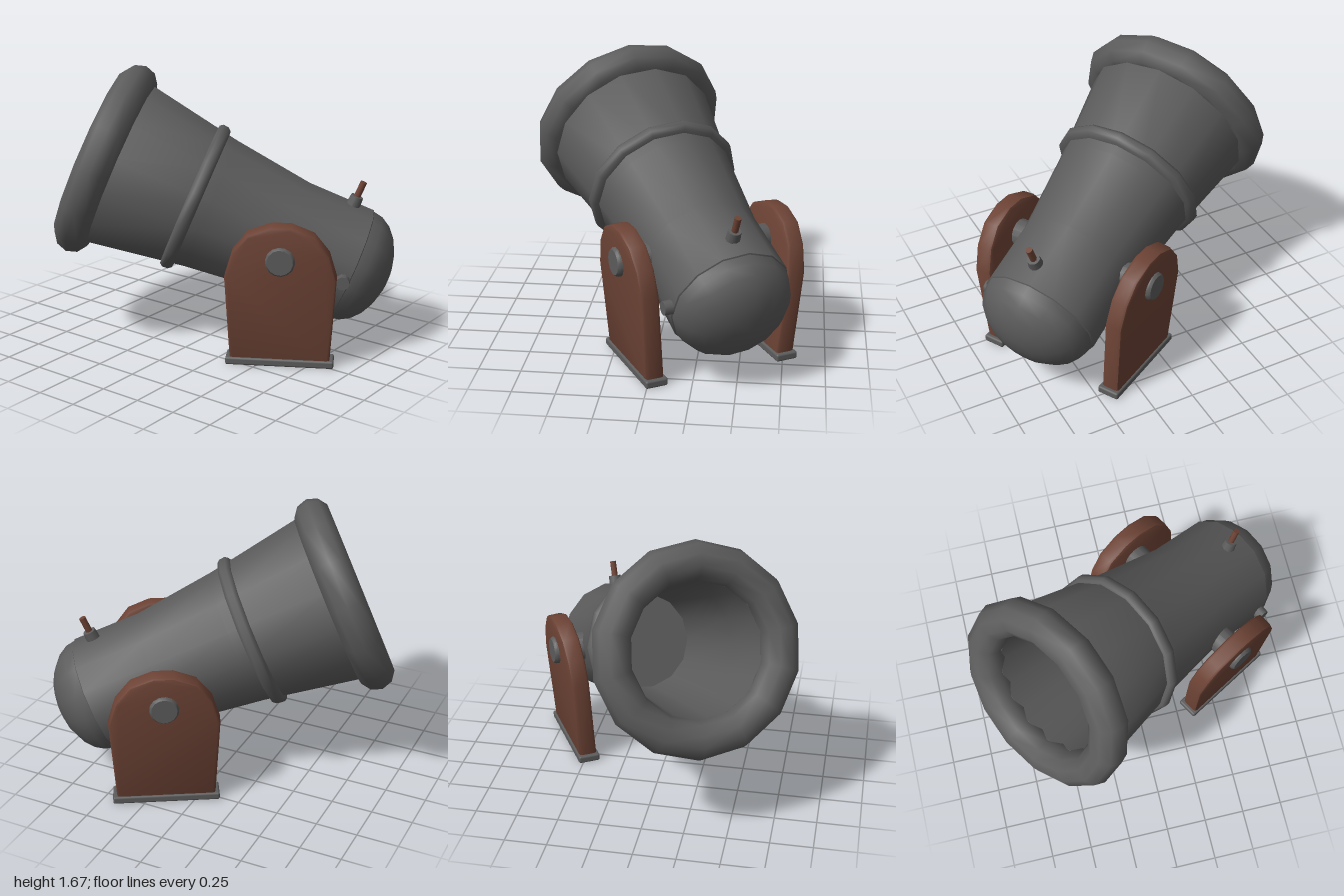
import * as THREE from 'three';
import { toCreasedNormals } from 'three/addons/utils/BufferGeometryUtils.js';
import { RoundedBoxGeometry } from 'three/addons/geometries/RoundedBoxGeometry.js';

const SIDES = 14;
const iron = new THREE.MeshStandardMaterial({ color: 0x5c5c5c });
iron.name = 'iron';
const wood = new THREE.MeshStandardMaterial({ color: 0x6d4335 });
wood.name = 'wood';

function add(parent, name, geometry, material, x = 0, y = 0, z = 0) {
  const mesh = new THREE.Mesh(geometry, material);
  mesh.name = name;
  mesh.position.set(x, y, z);
  parent.add(mesh);
  return mesh;
}

function lathe(points, crease = 0.7) {
  const profile = points.map(([r, y]) => new THREE.Vector2(r, y));
  return toCreasedNormals(new THREE.LatheGeometry(profile, SIDES, Math.PI / SIDES / 2), crease);
}

// Barrel parts run along y, with the muzzle at +y and the upper side at -z
function createBarrel() {
  const barrel = new THREE.Group();
  barrel.name = 'barrel';

  // Outer wall, then down the bore to its closed end
  add(barrel, 'barrelBody', lathe([
    [0.345, -0.43], [0.362, -0.42], [0.36, 0], [0.42, 0.5], [0.525, 1.12],
    [0.5, 1.19], [0.4, 1.17], [0.36, 0.8], [0.3, 0.15], [0, 0.15],
  ]), iron);

  // Domed breech
  const dome = [];
  for (let i = 0; i <= 6; i++) {
    const a = (i / 6) * Math.PI / 2;
    dome.push([0.355 * Math.sin(a), -0.42 - 0.25 * Math.cos(a)]);
  }
  add(barrel, 'breechCap', lathe(dome), iron);

  // Band around the middle
  add(barrel, 'barrelBand', lathe([
    [0.41, 0.555], [0.455, 0.56], [0.472, 0.58], [0.475, 0.615], [0.46, 0.635], [0.42, 0.64],
  ], 1.0), iron);

  // Rounded muzzle lip
  const lip = new THREE.TorusGeometry(0.5, 0.112, 10, SIDES);
  lip.rotateX(Math.PI / 2).rotateY(Math.PI / SIDES / 2);
  add(barrel, 'muzzleLip', lip, iron, 0, 1.19, 0);

  // Fuse on the upper side
  const socket = new THREE.CylinderGeometry(0.038, 0.045, 0.08, 10).rotateX(-Math.PI / 2);
  add(barrel, 'fuseSocket', socket, iron, 0, -0.288, -0.37);
  const fuse = new THREE.CylinderGeometry(0.02, 0.02, 0.16, 8).rotateX(-Math.PI / 2);
  add(barrel, 'fuse', fuse, wood, 0, -0.288, -0.425);

  // Small stud on the left of the breech seam
  const stud = new THREE.CylinderGeometry(0.04, 0.045, 0.08, 10).rotateZ(-Math.PI / 2);
  add(barrel, 'breechStud', stud, iron, 0.36, -0.385, 0);
  return barrel;
}

// Arched plank with softened edges
function plankGeometry() {
  const half = [[0.275, 0], [0.305, 0.52], [0.262, 0.665], [0.18, 0.77], [0.055, 0.82]];
  const outline = [...half, ...half.slice().reverse().map(([x, y]) => [-x, y])];
  const shape = new THREE.Shape(outline.map(([x, y]) => new THREE.Vector2(x, y)));
  const geometry = new THREE.ExtrudeGeometry(shape, {
    depth: 0.07, bevelThickness: 0.02, bevelSize: 0.018, bevelSegments: 2,
  });
  geometry.translate(0, 0, -0.035).rotateY(Math.PI / 2);
  return toCreasedNormals(geometry, 0.7);
}

export function createModel() {
  const model = new THREE.Group();
  model.name = 'cannon';

  // The whole cannon is turned to one side
  const carriage = new THREE.Group();
  carriage.name = 'carriage';
  carriage.position.set(0.38, 0, -0.26);
  carriage.rotation.y = -Math.PI / 3;
  model.add(carriage);

  const barrel = createBarrel();
  barrel.position.y = 0.65;
  barrel.rotation.x = Math.PI * 3 / 8;
  carriage.add(barrel);

  // Axle through the barrel and both supports
  const axle = toCreasedNormals(lathe([
    [0, -0.55], [0.075, -0.55], [0.086, -0.535], [0.086, 0.535], [0.075, 0.55], [0, 0.55],
  ]).rotateZ(Math.PI / 2), 0.7);
  add(carriage, 'axle', axle, iron, 0, 0.665, 0);

  // Supports lean slightly outward on flat feet
  const plank = plankGeometry();
  const foot = new RoundedBoxGeometry(0.135, 0.046, 0.635, 2, 0.012);
  for (const side of [1, -1]) {
    const prefix = side > 0 ? 'left' : 'right';
    const support = add(carriage, prefix + 'Support', plank, wood, side * 0.416, 0.036, 0);
    support.rotation.z = -side * 0.08;
    add(carriage, prefix + 'Foot', foot, iron, side * 0.416, 0.023, 0);
  }
  return model;
}
